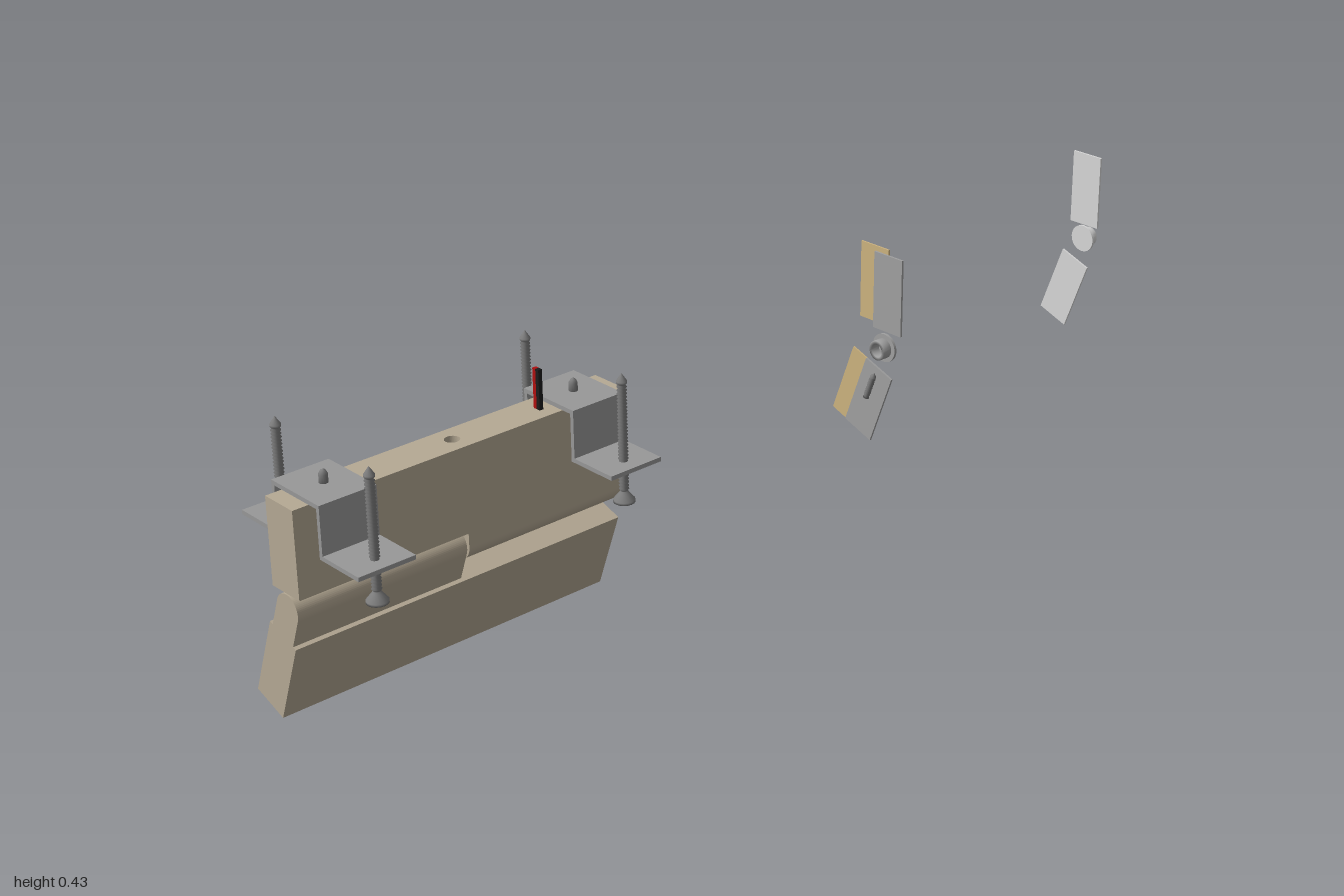
import * as THREE from 'three';

const mat = (name, color, extra = {}) => {
  const m = new THREE.MeshStandardMaterial({ color, ...extra });
  m.name = name;
  return m;
};

export function createModel() {
  const beige = mat('beige', 0xb5a994), tan = mat('tan', 0xcdb37f);
  const steel = mat('steel', 0x989898), screwGrey = mat('screw grey', 0x7c7c7c);
  const midGrey = mat('mid grey', 0xa0a0a0), paleGrey = mat('pale grey', 0xd8d8d8);
  const red = mat('red', 0xb01010), black = mat('black', 0x1c1c1c);

  const YAW = -5 * Math.PI / 180, TILT = -20.3 * Math.PI / 180;
  const W = 0.066, H = 0.142, L = 0.605, PIN_Y = 0.192, PIN_R = 0.026;
  const model = new THREE.Group();
  model.name = 'hingedLightBar';

  const add = (parent, name, geo, m, x = 0, y = 0, z = 0) => {
    const mesh = new THREE.Mesh(geo, m);
    mesh.name = name;
    mesh.position.set(x, y, z);
    parent.add(mesh);
    return mesh;
  };
  const group = (parent, name, x = 0, y = 0, z = 0) => {
    const g = new THREE.Group();
    g.name = name;
    g.position.set(x, y, z);
    parent.add(g);
    return g;
  };
  const box = (w, h, d) => new THREE.BoxGeometry(w, h, d);
  const disc = (r, d) => new THREE.CylinderGeometry(r, r, d, 32).rotateX(Math.PI / 2);
  const lathe = (pts, n = 20) => new THREE.LatheGeometry(pts.map(p => new THREE.Vector2(...p)), n);

  // Rounded hinge tab: half circle at the pin, straight neck up to height h
  const tab = (h, depth) => {
    const s = new THREE.Shape();
    s.moveTo(-PIN_R, h);
    s.lineTo(-PIN_R, 0);
    s.absarc(0, 0, PIN_R, Math.PI, Math.PI * 2, false);
    s.lineTo(PIN_R, h);
    s.closePath();
    return new THREE.ExtrudeGeometry(s, { depth, bevelEnabled: false, curveSegments: 16 });
  };

  // Main bar
  const bar = group(model, 'bar', -0.002, 0, 0.695);
  bar.rotation.y = YAW;

  // Upper housing with a round cable hole through the top
  const foot = new THREE.Shape();
  foot.moveTo(-W / 2, -L / 2);
  foot.lineTo(W / 2, -L / 2);
  foot.lineTo(W / 2, L / 2);
  foot.lineTo(-W / 2, L / 2);
  foot.closePath();
  foot.holes.push(new THREE.Path().absarc(0, 0, 0.012, 0, Math.PI * 2, true));
  const upperGeo = new THREE.ExtrudeGeometry(foot, { depth: H, bevelEnabled: false, curveSegments: 20 });
  upperGeo.rotateX(-Math.PI / 2);
  add(bar, 'upperHousing', upperGeo, beige, 0, 0.22, 0);
  add(bar, 'upperHingeTab', tab(0.029, L / 2 - 0.002), beige, 0, PIN_Y, -L / 2);

  // Lower housing swings about the hinge pin
  const lower = group(bar, 'lowerHalf', 0, PIN_Y, 0);
  lower.rotation.z = TILT;
  add(lower, 'lowerHousing', box(W, H, L), beige, 0, -0.051 - H / 2, 0);
  add(lower, 'lowerHingeTab', tab(0.052, L / 2 - 0.002).rotateZ(Math.PI), beige, 0, 0, 0.002);
  add(lower, 'lightSlot', box(0.03, 0.002, L - 0.03), black, 0, -0.051 - H, 0);

  // Wires
  add(bar, 'redWire', box(0.007, 0.066, 0.007), red, 0.0, 0.395, -0.16);
  add(bar, 'blackWire', box(0.007, 0.066, 0.007), black, 0.007, 0.395, -0.16);

  // Long wood screw, head down, with a saw-tooth thread profile
  const screwPts = [[0, 0.222], [0.017, 0.222], [0.017, 0.226], [0.008, 0.237], [0.006, 0.24]];
  for (let i = 0; i < 32; i++) {
    const y = 0.241 + i * 0.0056;
    screwPts.push([0.0055, y], [0.008, y + 0.0028]);
  }
  screwPts.push([0.0085, 0.421], [0, 0.434]);
  const screwGeo = lathe(screwPts, 16);
  const boltGeo = lathe([[0, 0.366], [0.007, 0.366], [0.007, 0.382], [0.004, 0.388], [0, 0.39]], 16);

  // Hat-shaped mounting brackets
  const T = 0.007, halfTop = 0.058, halfSpan = 0.143, depth = 0.098;
  const hat = new THREE.Shape([
    [-halfSpan, 0.283], [-halfTop + T, 0.283], [-halfTop + T, 0.362], [halfTop - T, 0.362],
    [halfTop - T, 0.283], [halfSpan, 0.283], [halfSpan, 0.29], [halfTop, 0.29],
    [halfTop, 0.369], [-halfTop, 0.369], [-halfTop, 0.29], [-halfSpan, 0.29],
  ].map(p => new THREE.Vector2(...p)));
  const hatGeo = new THREE.ExtrudeGeometry(hat, { depth, bevelEnabled: false });
  hatGeo.translate(0, 0, -depth / 2);
  for (const [name, z] of [['frontBracket', 0.226], ['backBracket', -0.231]]) {
    const b = group(bar, name, 0, 0, z);
    add(b, 'bracketPlate', hatGeo, steel);
    add(b, 'bracketBolt', boltGeo, screwGrey);
    for (const x of [-0.1135, 0.1135]) add(b, 'mountingScrew', screwGeo, screwGrey, x);
  }

  // Separated end plates: upper plate and tilted lower plate sharing one hinge centre
  const plates = (name, m, x, z, t = 0.004) => {
    const g = group(model, name, x, 0, z);
    g.rotation.y = YAW;
    add(g, 'upperEndPlate', box(W, H, t), m, 0, 0.22 + H / 2, 0);
    const low = group(g, 'lowerEnd', 0, PIN_Y, 0);
    low.rotation.z = TILT;
    add(low, 'lowerEndPlate', box(W, H, t), m, 0, -0.051 - H / 2, 0);
    return { g, low };
  };

  // Ridged pin lying along a plate
  const pinPts = [[0, -0.028], [0.006, -0.028]];
  for (let i = 0; i < 9; i++) pinPts.push([0.004, -0.024 + i * 0.005], [0.006, -0.0215 + i * 0.005]);
  pinPts.push([0, 0.028]);
  const pinGeo = lathe(pinPts, 12);

  // Hinge cap: disc with a hollow boss pointing along dir
  const ring = lathe([[0.012, 0], [0.018, 0], [0.018, 0.02], [0.012, 0.02], [0.012, 0]], 24);
  const hingeCap = (parent, m, z, dir) => {
    const c = group(parent, 'hingeCap', 0, PIN_Y, z);
    add(c, 'capDisc', disc(PIN_R, 0.005), m);
    add(c, 'capBoss', ring, m).rotation.x = dir * Math.PI / 2;
  };

  plates('gasketPlates', tan, -0.036, -0.329, 0.003);

  const front = plates('frontEndCaps', midGrey, 0.014, -0.304);
  hingeCap(front.g, midGrey, 0.006, 1);
  add(front.low, 'lowerPin', pinGeo, screwGrey, 0, -0.085, 0.01);

  const back = plates('backEndCaps', paleGrey, -0.036, -0.971);
  hingeCap(back.g, paleGrey, 0.002, -1);
  add(back.low, 'lowerPin', pinGeo, screwGrey, 0, -0.085, -0.01);
  add(back.g, 'upperPin', pinGeo, screwGrey, 0, 0.33, -0.012);

  return model;
}
